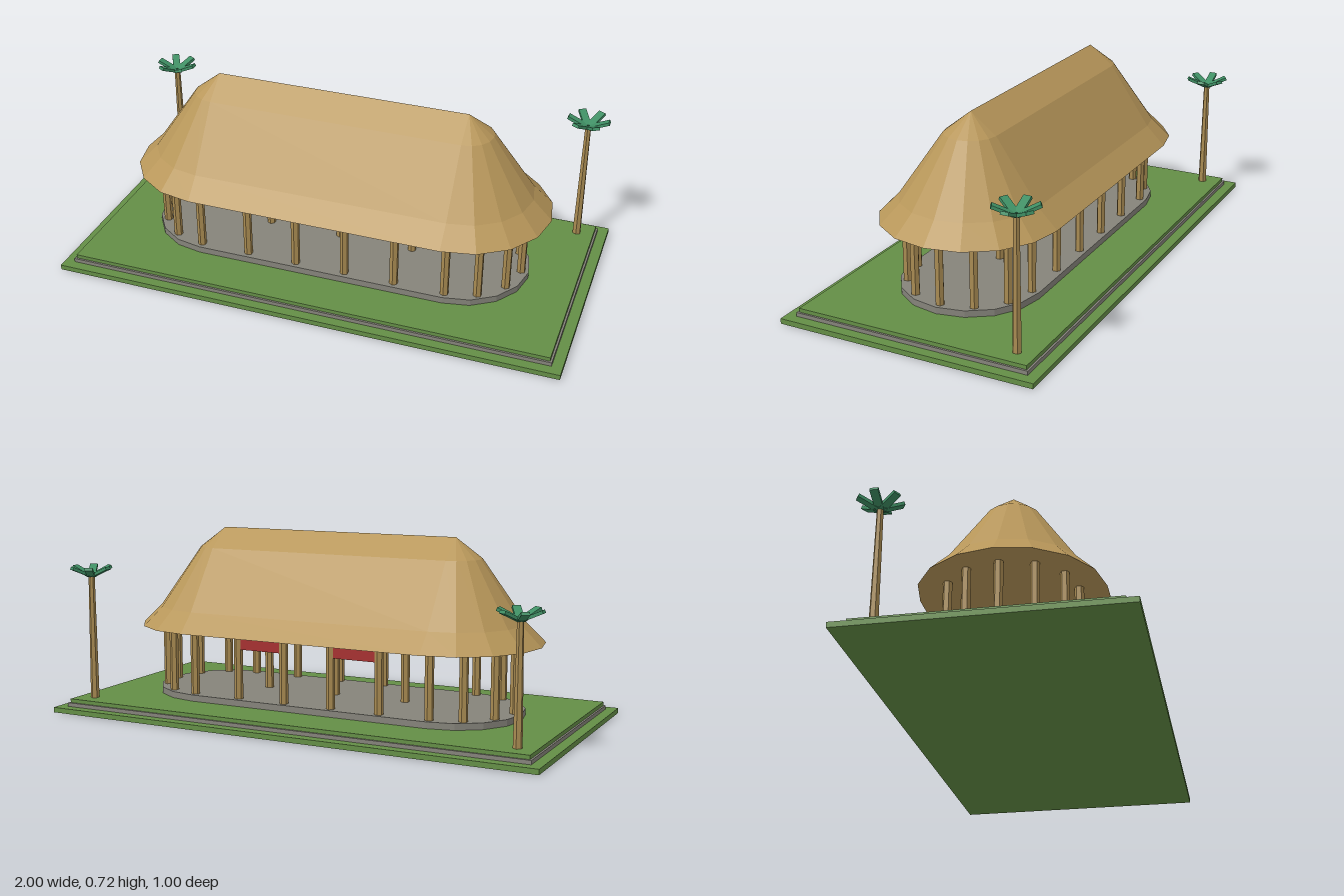
import * as THREE from 'three';

const mat = (name, color) => {
  const m = new THREE.MeshStandardMaterial({ color });
  m.name = name;
  return m;
};

// Sharp-edged version of a geometry
const faceted = (geometry) => {
  const g = geometry.index ? geometry.toNonIndexed() : geometry;
  g.computeVertexNormals();
  return g;
};

// Stadium outline with faceted half-round ends of radius r
function stadium(r, y, half = 0.5, steps = 8) {
  const points = [];
  for (const side of [1, -1]) {
    for (let i = 0; i <= steps; i++) {
      const a = Math.PI * (i / steps - 0.5) + (side < 0 ? Math.PI : 0);
      points.push(new THREE.Vector3(side * half + r * Math.cos(a), y, r * Math.sin(a)));
    }
  }
  return points;
}

// Joins stadium rings given as [radius, height]; radius 0 closes to a ridge
function loftStadium(profile) {
  const rings = profile.map(([r, y]) => stadium(r, y));
  const pos = [];
  const tri = new THREE.Triangle();
  const add = (a, b, c) => {
    if (tri.set(a, b, c).getArea() > 1e-9) pos.push(...a, ...b, ...c);
  };
  for (let k = 0; k < rings.length - 1; k++) {
    const low = rings[k], up = rings[k + 1], n = low.length;
    for (let i = 0; i < n; i++) {
      const j = (i + 1) % n;
      add(low[i], up[i], up[j]);
      add(low[i], up[j], low[j]);
    }
  }
  const g = new THREE.BufferGeometry();
  g.setAttribute('position', new THREE.Float32BufferAttribute(pos, 3));
  return faceted(g);
}

export function createModel() {
  const model = new THREE.Group();
  model.name = 'thatchedHall';
  const grass = mat('grass', 0x648e46);
  const stone = mat('stone', 0x85837a);
  const wood = mat('wood', 0xa98b52);
  const thatch = mat('thatch', 0xb8975a);
  const red = mat('red cloth', 0xa63030);
  const palm = mat('palm green', 0x3f8f64);

  const add = (name, geometry, material, x = 0, y = 0, z = 0, parent = model) => {
    const mesh = new THREE.Mesh(geometry, material);
    mesh.name = name;
    mesh.position.set(x, y, z);
    parent.add(mesh);
    return mesh;
  };

  // Ground, stone step and raised lawn
  add('ground', new THREE.BoxGeometry(2, 0.02, 1), grass, 0, 0.01, 0);
  add('stoneStep', new THREE.BoxGeometry(1.92, 0.015, 0.92), stone, 0, 0.0275, 0);
  add('raisedLawn', new THREE.BoxGeometry(1.905, 0.015, 0.905), grass, 0, 0.0425, 0);

  // Rounded floor platform and hipped thatch roof
  add('platform', loftStadium([[0, 0.05], [0.27, 0.05], [0.27, 0.075], [0, 0.075]]), stone);
  add('roof', loftStadium([[0, 0.328], [0.34, 0.328], [0.265, 0.403], [0.1, 0.64], [0, 0.718]]), thatch);

  // Posts along both sides, around the ends and under the ridge
  const postGeometry = faceted(new THREE.CylinderGeometry(0.017, 0.017, 0.255, 6));
  const post = (name, x, z) => add(name, postGeometry, wood, x, 0.2025, z);
  for (const z of [-0.24, 0.24]) {
    for (let i = 0; i < 6; i++) post('sidePost', -0.5 + i * 0.2, z);
  }
  for (const side of [-1, 1]) {
    for (let i = -2; i <= 2; i++) {
      const a = (i * Math.PI) / 6;
      post('endPost', side * (0.5 + 0.24 * Math.cos(a)), 0.24 * Math.sin(a));
    }
  }
  for (const x of [-0.3, 0, 0.3]) post('ridgePost', x, 0);

  // Red hangings between the posts, front and back
  const hanging = new THREE.BoxGeometry(0.18, 0.05, 0.015);
  for (const x of [-0.2, 0.2]) {
    for (const z of [-0.24, 0.24]) add('hanging', hanging, red, x, 0.295, z);
  }

  // Palms with a tapered trunk and six raised fronds
  const frond = new THREE.BoxGeometry(0.08, 0.012, 0.03);
  frond.translate(0.048, 0, 0);
  frond.rotateZ(0.42);
  const makePalm = (name, x, top) => {
    const tree = new THREE.Group();
    tree.name = name;
    tree.position.set(x, 0.05, -0.382);
    const h = top - 0.05;
    add('trunk', faceted(new THREE.CylinderGeometry(0.012, 0.017, h, 6)), wood, 0, h / 2, 0, tree);
    for (let i = 0; i < 6; i++) {
      add('frond', frond, palm, 0, h - 0.003, 0, tree).rotation.y = (i * Math.PI) / 3;
    }
    model.add(tree);
  };
  makePalm('shortPalm', -0.885, 0.49);
  makePalm('tallPalm', 0.885, 0.54);

  return model;
}
